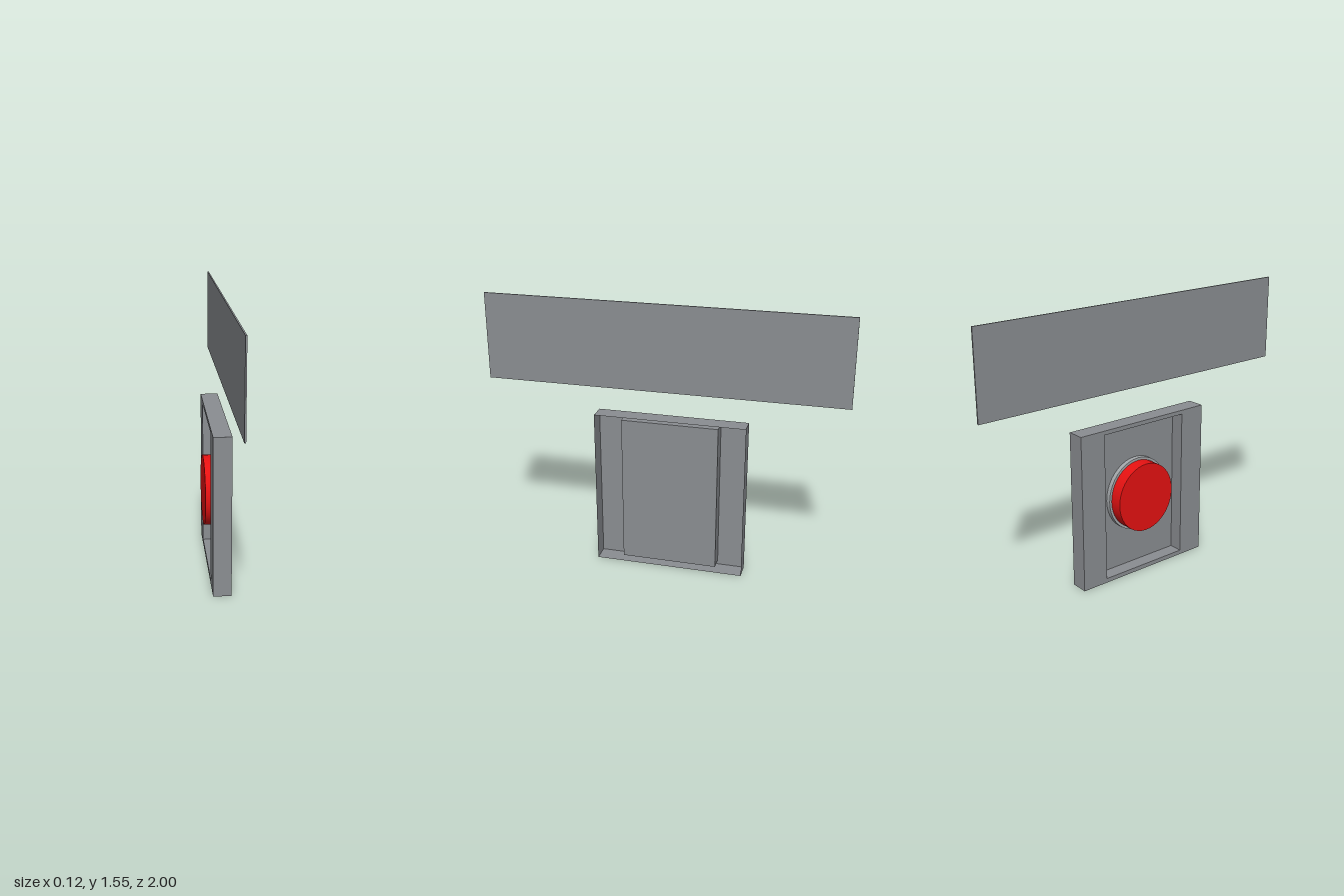
import * as THREE from 'three';

export function createModel() {
  const model = new THREE.Group();
  const grey = new THREE.MeshStandardMaterial({ color: 0x8b8e92, side: THREE.DoubleSide });
  grey.name = 'grey metal';
  const red = new THREE.MeshStandardMaterial({ color: 0xe81212 });
  red.name = 'red button';
  const lightGrey = new THREE.MeshStandardMaterial({ color: 0xa4a8ab });
  lightGrey.name = 'light grey collar';

  const add = (name, geometry, material, x, y, z) => {
    const mesh = new THREE.Mesh(geometry, material);
    mesh.name = name;
    mesh.position.set(x, y, z);
    model.add(mesh);
    return mesh;
  };

  // Thin sign board above the housing
  add('signBoard', new THREE.BoxGeometry(0.008, 0.485, 2), grey, 0.05, 1.3075, 0);

  // Pressed sheet housing: outer wall, rim, recess wall, recess floor
  const outer = { y0: 0, y1: 0.9, z0: -0.457, z1: 0.393 };
  const inner = { y0: 0.025, y1: 0.877, z0: -0.303, z1: 0.242 };
  const ring = (r, x) => [[x, r.y0, r.z0], [x, r.y0, r.z1], [x, r.y1, r.z1], [x, r.y1, r.z0]];
  const rings = [ring(outer, 0.06), ring(outer, -0.04), ring(inner, -0.04), ring(inner, 0.04)];
  const points = [];
  const quad = (a, b, c, d) => points.push(...a, ...b, ...c, ...a, ...c, ...d);
  for (let i = 0; i < 3; i++) {
    for (let j = 0; j < 4; j++) {
      const k = (j + 1) % 4;
      quad(rings[i][j], rings[i + 1][j], rings[i + 1][k], rings[i][k]);
    }
  }
  quad(...rings[3]);
  const pan = new THREE.BufferGeometry();
  pan.setAttribute('position', new THREE.Float32BufferAttribute(points, 3));
  pan.computeVertexNormals();
  add('housing', pan, grey, 0, 0, 0);

  // Round button and its collar, standing in the recess
  const disc = (name, x0, x1, ry, rz, material) => {
    const geometry = new THREE.CylinderGeometry(1, 1, x1 - x0, 40);
    geometry.rotateZ(Math.PI / 2);
    geometry.scale(1, ry, rz);
    add(name, geometry, material, (x0 + x1) / 2, 0.452, -0.035);
  };
  disc('buttonCollar', 0.012, 0.039, 0.215, 0.202, lightGrey);
  disc('button', -0.06, 0.014, 0.2, 0.188, red);

  return model;
}
